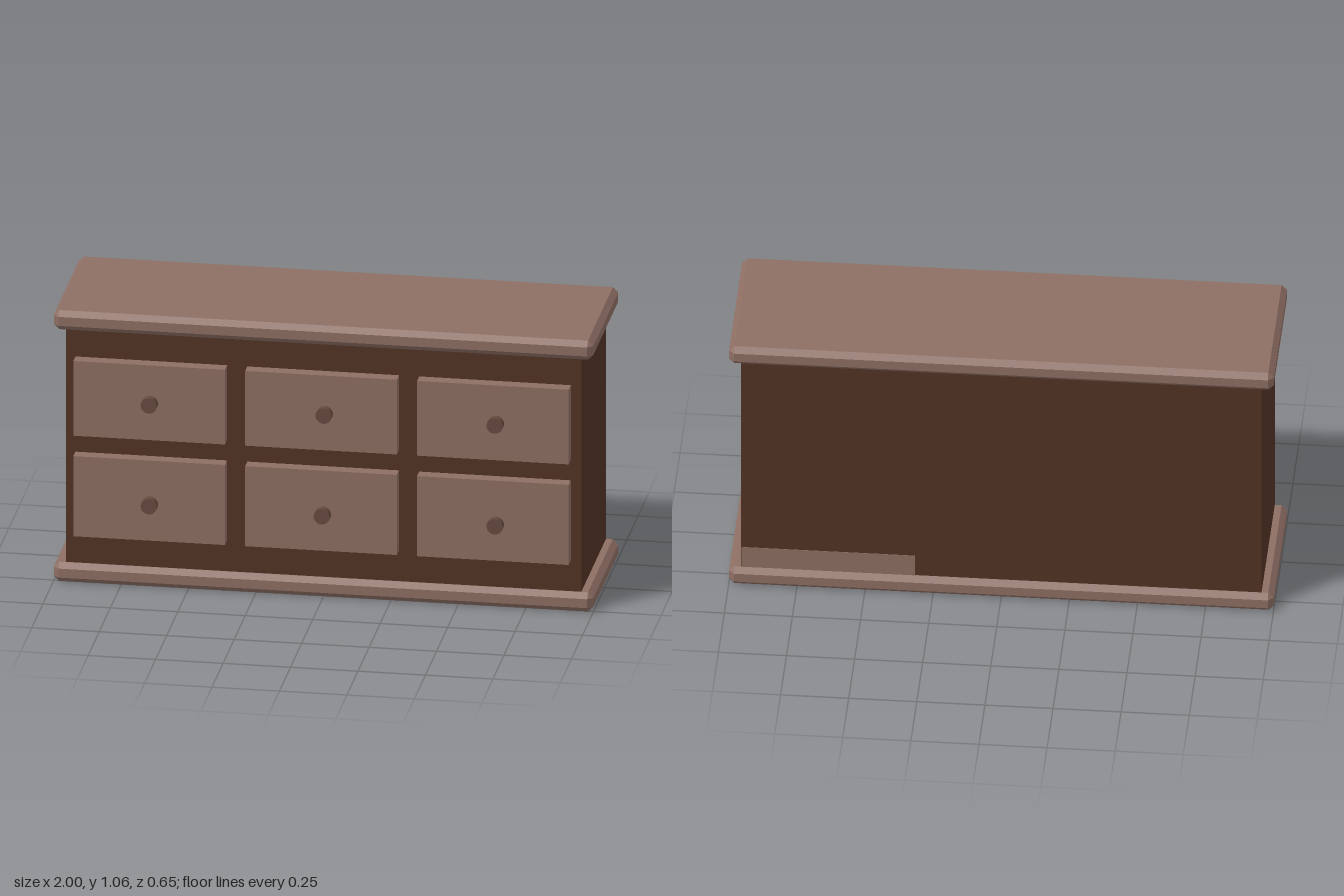
import * as THREE from 'three';
import { ConvexGeometry } from 'three/addons/geometries/ConvexGeometry.js';

const lightWood = new THREE.MeshStandardMaterial({ color: 0x8d6e63 });
const darkWood = new THREE.MeshStandardMaterial({ color: 0x523324 });
const knobWood = new THREE.MeshStandardMaterial({ color: 0x654a3e });

// Box given by its limits on each axis
function box(name, material, [x0, x1], [y0, y1], [z0, z1]) {
  const mesh = new THREE.Mesh(new THREE.BoxGeometry(x1 - x0, y1 - y0, z1 - z0), material);
  mesh.position.set((x0 + x1) / 2, (y0 + y1) / 2, (z0 + z1) / 2);
  mesh.name = name;
  return mesh;
}

// Box with all edges cut at 45 degrees and triangular corners
function chamferedSlab(w, h, d, c) {
  const points = [];
  for (const sx of [-1, 1]) for (const sy of [-1, 1]) for (const sz of [-1, 1]) {
    for (let full = 0; full < 3; full++) {
      const half = [w, h, d].map((s, axis) => s / 2 - (axis === full ? 0 : c));
      points.push(new THREE.Vector3(sx * half[0], sy * half[1], sz * half[2]));
    }
  }
  return new ConvexGeometry(points);
}

export function createModel() {
  const model = new THREE.Group();
  model.name = 'dresser';

  // Carcass
  model.add(box('body', darkWood, [-0.955, 0.955], [0.04, 1.02], [-0.305, 0.252]));

  // Plinth and top board
  const slab = chamferedSlab(2, 0.075, 0.6, 0.02);
  for (const [name, y] of [['base', 0.0375], ['top', 1.0215]]) {
    const mesh = new THREE.Mesh(slab, lightWood);
    mesh.name = name;
    mesh.position.set(0, y, -0.026);
    model.add(mesh);
  }

  // Low strip lying flush on the back
  model.add(box('backStrip', lightWood, [0.317, 0.954], [0.05, 0.162], [-0.3065, -0.29]));

  // Two rows of three drawers, each with a round knob
  const rows = [
    { name: 'lower', y: [0.195, 0.508], knobY: 0.338, knobX: [-0.636, 0.005, 0.646] },
    { name: 'upper', y: [0.588, 0.88], knobY: 0.732, knobX: [-0.636, 0.012, 0.646] },
  ];
  const columns = [[-0.92, -0.358], [-0.283, 0.279], [0.354, 0.916]];
  const sides = ['Right', 'Middle', 'Left'];
  const knobGeometry = new THREE.CylinderGeometry(0.03, 0.03, 0.04, 32).rotateX(Math.PI / 2);
  for (const row of rows) {
    columns.forEach((x, i) => {
      const drawer = new THREE.Group();
      drawer.name = `${row.name}${sides[i]}Drawer`;
      drawer.add(box('drawerFront', lightWood, x, row.y, [0.24, 0.3]));
      const knob = new THREE.Mesh(knobGeometry, knobWood);
      knob.name = 'knob';
      knob.position.set(row.knobX[i], row.knobY, 0.308);
      drawer.add(knob);
      model.add(drawer);
    });
  }
  return model;
}
